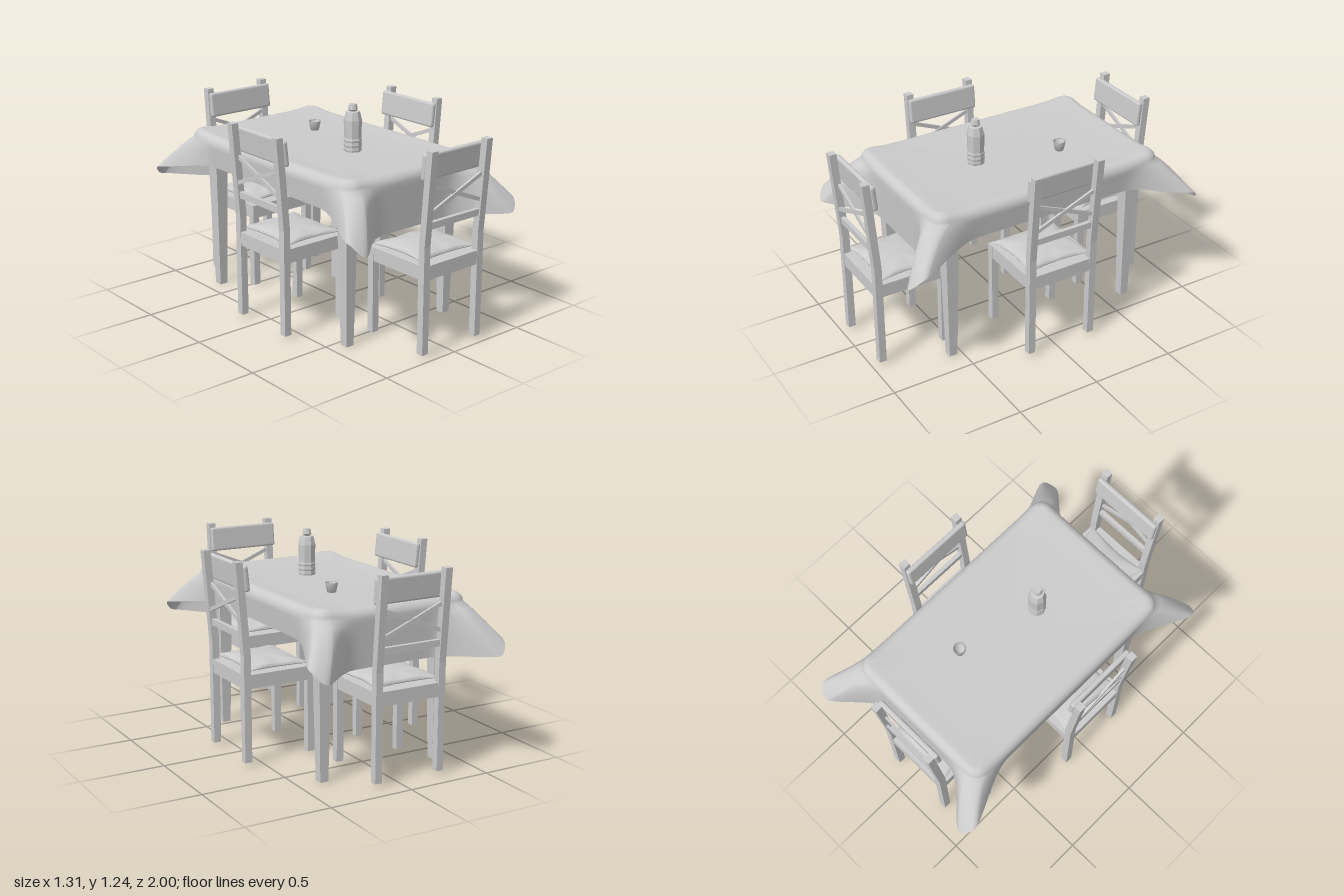
import * as THREE from 'three';
import { RoundedBoxGeometry } from 'three/addons/geometries/RoundedBoxGeometry.js';

const flat = new THREE.MeshStandardMaterial({ color: 0xcccccc, flatShading: true });
const smooth = new THREE.MeshStandardMaterial({ color: 0xcccccc, side: THREE.DoubleSide });
const CX = -0.02, CZ = -0.05; // table centre
const lerp = THREE.MathUtils.lerp;

function add(parent, name, geometry, material = flat, x = 0, y = 0, z = 0) {
  const mesh = new THREE.Mesh(geometry, material);
  mesh.name = name;
  mesh.position.set(x, y, z);
  parent.add(mesh);
  return mesh;
}

function box(parent, name, w, h, d, x, y, z) {
  return add(parent, name, new THREE.BoxGeometry(w, h, d), flat, x, y, z);
}

function meshGeometry(pos, index) {
  const g = new THREE.BufferGeometry();
  g.setAttribute('position', new THREE.Float32BufferAttribute(pos, 3));
  g.setIndex(index);
  g.computeVertexNormals();
  return g;
}

// Puffy square pillow: sides drawn in, corners left as points, both faces domed
function cushionGeometry(halfW, halfD) {
  const n = 20, pos = [], index = [];
  for (const side of [1, -1]) {
    const start = pos.length / 3;
    for (let j = 0; j <= n; j++) for (let i = 0; i <= n; i++) {
      const u = Math.sin((i / n - 0.5) * Math.PI), v = Math.sin((j / n - 0.5) * Math.PI);
      const dome = Math.pow((1 - u * u) * (1 - v * v), 0.35);
      // Creases running in from the corners and edges
      const crease = 0.006 * Math.cos(7 * Math.atan2(v, u) + 1) * (u * u + v * v) * dome;
      const height = side > 0 ? 0.037 * dome + crease : -0.016 * dome;
      pos.push(u * halfW * (1 - 0.13 * (1 - v * v)), height, v * halfD * (1 - 0.13 * (1 - u * u)));
      if (i < n && j < n) {
        const a = start + j * (n + 1) + i, b = a + 1, c = a + n + 1, d = c + 1;
        if (side > 0) index.push(a, c, b, b, c, d);
        else index.push(a, b, c, b, d, c);
      }
    }
  }
  return meshGeometry(pos, index);
}

// Chair with its back plane at z = 0, facing +z
function createChair() {
  const chair = new THREE.Group();
  const W = 0.445, D = 0.445, T = 0.043, side = W / 2 - T / 2;

  // Back posts: upright, then leaning backwards above the seat
  const profile = new THREE.Shape([
    [0, 0.02], [T, 0.02], [T, 0.64], [0.001, 1.17], [-0.042, 1.17], [0, 0.64],
  ].map(([z, y]) => new THREE.Vector2(z, y)));
  const post = new THREE.ExtrudeGeometry(profile, { depth: T, bevelEnabled: false });
  post.rotateY(-Math.PI / 2).translate(T / 2, 0, 0);

  for (const s of [-1, 1]) {
    add(chair, 'backPost', post, flat, s * side);
    box(chair, 'frontLeg', T, 0.51, T, s * side, 0.275, D - T / 2);
    box(chair, 'sideRail', 0.035, 0.04, D - 2 * T, s * (W / 2 - 0.02), 0.47, D / 2);
    // Crossed bars
    const bar = box(chair, 'crossBar', 0.395, 0.022, 0.014, 0, 0.9, s * 0.004);
    bar.rotation.z = s * 0.385;
  }
  for (const z of [0.02, D - 0.02]) box(chair, 'seatRail', W - 2 * T, 0.04, 0.035, 0, 0.47, z);
  box(chair, 'seat', W - 0.005, 0.04, D - 2 * T, 0, 0.51, D / 2);
  box(chair, 'seatMiddle', W - 2 * T, 0.04, D - 0.005, 0, 0.51, D / 2);
  box(chair, 'backRail', W - 2 * T, 0.038, 0.025, 0, 0.752, 0.013);

  // Padded headrest in front of the posts
  const head = add(chair, 'headrest', new RoundedBoxGeometry(W, 0.147, 0.031, 2, 0.012), flat, 0, 1.074, 0.026);
  head.rotation.x = -0.1;
  add(chair, 'cushion', cushionGeometry(0.21, 0.19), smooth, 0, 0.548, 0.225);
  return chair;
}

// Draped cloth: rings around a rounded rectangle, folding down and flaring at the corners
function clothGeometry() {
  const A = 0.48, B = 0.74, R = 0.08, FOLD = 0.055, TOP = 0.975;
  const quarter = [];
  for (let i = 0; i < 16; i++) quarter.push([(A - R) * Math.sin(i / 16 * Math.PI / 2), B, 0, 1]);
  for (let i = 0; i <= 8; i++) {
    const a = i / 8 * Math.PI / 2, s = Math.sin(a), c = Math.cos(a);
    quarter.push([A - R + R * s, B - R + R * c, s, c]);
  }
  for (let i = 1; i <= 20; i++) quarter.push([A, (B - R) * Math.cos(i / 20 * Math.PI / 2), 1, 0]);

  const loop = [];
  for (const [sx, sz] of [[1, 1], [1, -1], [-1, -1], [-1, 1]]) {
    const pts = sx * sz > 0 ? quarter : [...quarter].reverse();
    pts.slice(0, -1).forEach(([x, z, nx, nz]) => {
      // w is 1 around a corner and fades along the edges
      const e = Math.max(0, Math.max(A - x, B - z) - 0.065);
      loop.push({ x: x * sx, z: z * sz, nx: nx * sx, nz: nz * sz, sx, sz, k: nz * nz, w: Math.exp(-((e / 0.085) ** 2)) });
    });
  }

  const rows = [];
  // Top, sagging slightly in the middle
  for (const f of [0, 0.4, 0.75, 0.93]) {
    rows.push(p => [(p.x - p.nx * FOLD) * f, lerp(0.964, TOP + 0.012 * p.w, f ** 6), (p.z - p.nz * FOLD) * f]);
  }
  // Rounded fold over the table edge
  for (let i = 0; i <= 5; i++) {
    const a = i / 5 * Math.PI / 2, inset = FOLD * (1 - Math.sin(a)), drop = FOLD * (1 - Math.cos(a));
    rows.push(p => [p.x - p.nx * inset, TOP + 0.012 * p.w - drop, p.z - p.nz * inset]);
  }
  // Hanging part: longer on the short ends
  for (let i = 1; i <= 10; i++) {
    const t = i / 10;
    rows.push(p => {
      const hem = lerp(lerp(0.79, 0.645, p.k), lerp(0.735, 0.66, p.k), p.w);
      const sway = -0.012 * t * (1 - p.w);
      return [
        p.x + p.sx * 0.135 * p.w * t + p.nx * sway,
        lerp(TOP + 0.012 * p.w - FOLD, hem, t),
        p.z + p.sz * 0.215 * p.w * Math.pow(t, 0.75) + p.nz * sway,
      ];
    });
  }

  const n = loop.length, pos = [], index = [];
  rows.forEach((row, r) => loop.forEach((p, i) => {
    pos.push(...row(p));
    if (r === rows.length - 1) return;
    const a = r * n + i, b = r * n + (i + 1) % n;
    if (r > 0) index.push(a, a + n, b);
    index.push(b, a + n, b + n);
  }));
  return meshGeometry(pos, index);
}

function lathe(points, sides) {
  return new THREE.LatheGeometry(points.map(([r, y]) => new THREE.Vector2(r, y)), sides);
}

export function createModel() {
  const model = new THREE.Group();
  model.name = 'diningSet';

  // Table
  const table = new THREE.Group();
  table.name = 'table';
  table.position.set(CX, 0, CZ);
  model.add(table);
  box(table, 'tableTop', 0.9, 0.035, 1.42, 0, 0.938, 0);
  box(table, 'apron', 0.79, 0.08, 1.25, 0, 0.88, 0.005);
  const leg = new THREE.CylinderGeometry(0.043 * Math.SQRT2, 0.025 * Math.SQRT2, 0.92, 4).rotateY(Math.PI / 4);
  for (const x of [-0.372, 0.368]) for (const z of [-0.595, 0.605]) add(table, 'tableLeg', leg, flat, x, 0.46, z);
  add(table, 'tablecloth', clothGeometry(), smooth);

  // Four chairs: x, z of the back plane and the turn
  const places = [
    ['frontChair', 0.018, 0.957, Math.PI],
    ['backChair', -0.066, -0.883, 0],
    ['leftChair', 0.612, -0.024, -Math.PI / 2],
    ['rightChair', -0.616, 0.064, Math.PI / 2],
  ];
  for (const [name, x, z, turn] of places) {
    const chair = createChair();
    chair.name = name;
    chair.position.set(x, 0, z);
    chair.rotation.y = turn;
    model.add(chair);
  }

  // Bottle with a ringed base and a cap
  add(model, 'bottle', lathe([
    [0, 0], [0.049, 0], [0.052, 0.012], [0.05, 0.03], [0.053, 0.04], [0.05, 0.058], [0.053, 0.07],
    [0.049, 0.08], [0.052, 0.185], [0.04, 0.233], [0.02, 0.236], [0.028, 0.247], [0.022, 0.276], [0, 0.276],
  ], 8), flat, -0.02, 0.961, 0.165);

  // Open cup
  add(model, 'cup', lathe([[0, 0], [0.025, 0], [0.037, 0.056], [0.031, 0.056], [0.021, 0.008], [0, 0.008]], 16),
    smooth, 0.1, 0.963, -0.325);

  return model;
}
